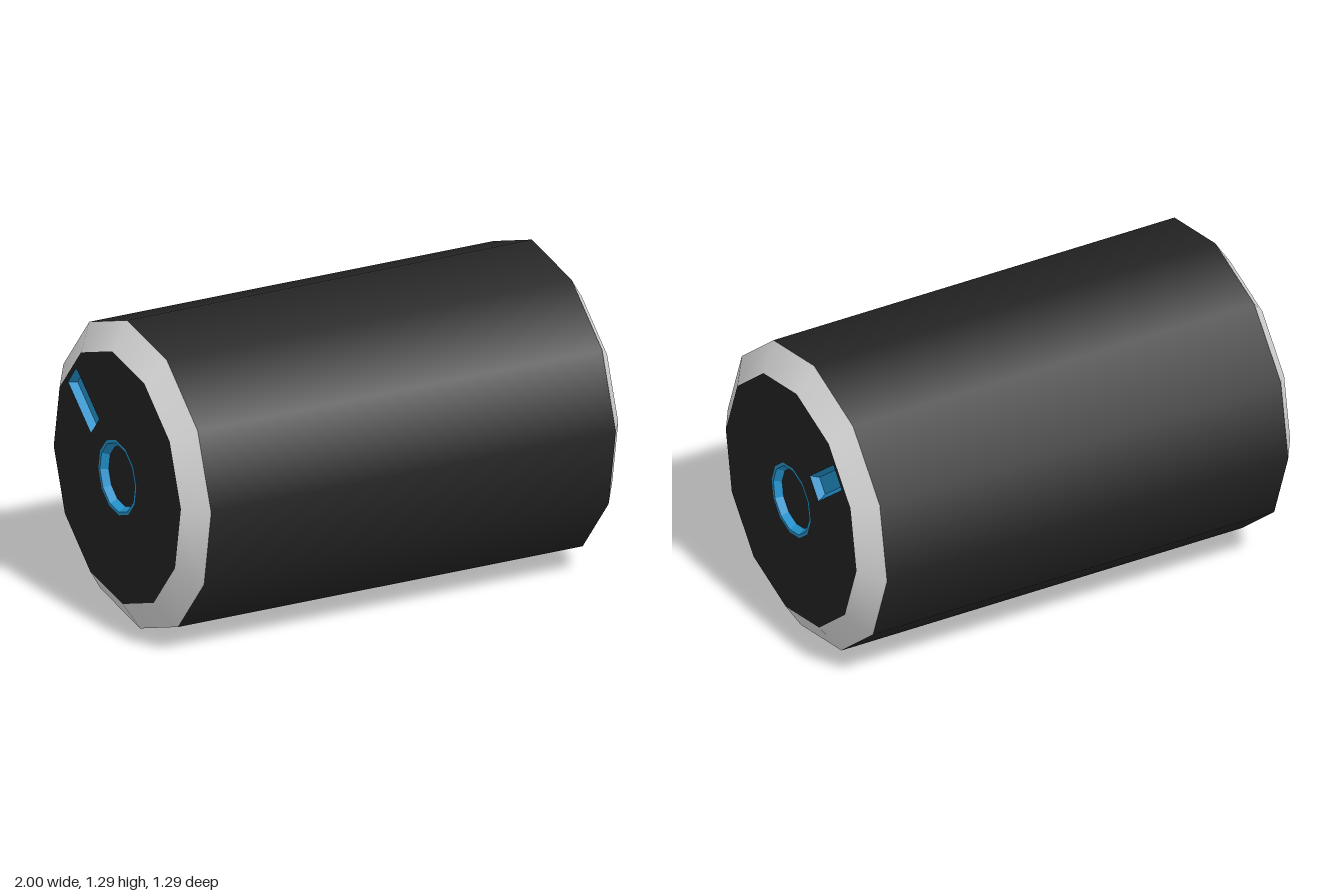
import * as THREE from 'three';

const SIDES = 12, R = 0.646, FACE_R = 0.53, TILT = THREE.MathUtils.degToRad(4.8);
const BODY_X = 0.925, END_X = 1, DEPTH = 0.03;

const mat = (name, color, side = THREE.FrontSide) => {
  const m = new THREE.MeshStandardMaterial({ color, side });
  m.name = name;
  return m;
};

// Outlines are lists of [z, y] points around the axis
const ring = (r) => Array.from({ length: SIDES }, (_, i) => {
  const a = TILT + (i / SIDES) * Math.PI * 2;
  return [r * Math.cos(a), r * Math.sin(a)];
});

const slot = (inset) => {
  const a = THREE.MathUtils.degToRad(140.5);
  const hl = 0.123 - inset, hw = 0.054 - inset;
  return [[-hl, -hw], [hl, -hw], [hl, hw], [-hl, hw]].map(([u, v]) => [
    -0.28 + u * Math.cos(a) - v * Math.sin(a),
    0.236 + u * Math.sin(a) + v * Math.cos(a),
  ]);
};

export function createModel() {
  const black = mat('black casing', 0x242424);
  const white = mat('light grey rim', 0xe4e4e4);
  const blue = mat('blue accent', 0x2596d1, THREE.DoubleSide);

  const model = new THREE.Group();
  model.name = 'cylinder';
  const add = (parent, name, geo, material) => {
    const m = new THREE.Mesh(geo, material);
    m.name = name;
    parent.add(m);
  };

  // Main barrel along x
  const barrel = new THREE.CylinderGeometry(R, R, BODY_X * 2, SIDES, 1, true, -TILT);
  add(model, 'barrel', barrel.rotateZ(-Math.PI / 2), black);

  for (const s of [1, -1]) {
    const end = new THREE.Group();
    end.name = s > 0 ? 'leftEnd' : 'rightEnd';
    model.add(end);

    // Flat outline with holes, facing outwards at the given x
    const plate = (outline, holes, x) => {
      const vec = (pts) => pts.map(([z, y]) => new THREE.Vector2(-s * z, y));
      const shape = new THREE.Shape(vec(outline));
      for (const h of holes) shape.holes.push(new THREE.Path(vec(h)));
      return new THREE.ShapeGeometry(shape).rotateY((s * Math.PI) / 2).translate(s * x, 0, 0);
    };

    // Sloping wall of a recess, from the face down to its floor
    const wall = (top, bottom) => {
      const pos = [];
      top.forEach((p, i) => {
        const j = (i + 1) % top.length;
        const a = [s * END_X, p[1], p[0]];
        const b = [s * END_X, top[j][1], top[j][0]];
        const c = [s * (END_X - DEPTH), bottom[j][1], bottom[j][0]];
        const d = [s * (END_X - DEPTH), bottom[i][1], bottom[i][0]];
        const quad = s > 0 ? [a, c, b, a, d, c] : [a, b, c, a, c, d];
        pos.push(...quad.flat());
      });
      const g = new THREE.BufferGeometry();
      g.setAttribute('position', new THREE.Float32BufferAttribute(pos, 3));
      g.computeVertexNormals();
      return g;
    };

    // Bevelled rim
    const rim = new THREE.CylinderGeometry(FACE_R, R, END_X - BODY_X, SIDES, 1, true, -s * TILT);
    rim.rotateZ((-s * Math.PI) / 2).translate((s * (END_X + BODY_X)) / 2, 0, 0);
    add(end, 'bevelRim', rim, white);

    // End face with openings for the round recess and the slot
    add(end, 'endFace', plate(ring(FACE_R), [ring(0.158), slot(0)], END_X), black);

    // Round recess with a blue border
    add(end, 'recessBorder', plate(ring(0.158), [ring(0.145)], END_X), blue);
    add(end, 'recessWall', wall(ring(0.145), ring(0.127)), blue);
    add(end, 'recessFloor', plate(ring(0.127), [], END_X - DEPTH), black);

    // Slanted slot
    add(end, 'slotWall', wall(slot(0), slot(0.018)), blue);
    add(end, 'slotFloor', plate(slot(0.018), [], END_X - DEPTH), blue);
  }

  model.position.y = R * Math.cos(TILT);
  const root = new THREE.Group();
  root.name = 'model';
  root.add(model);
  return root;
}
